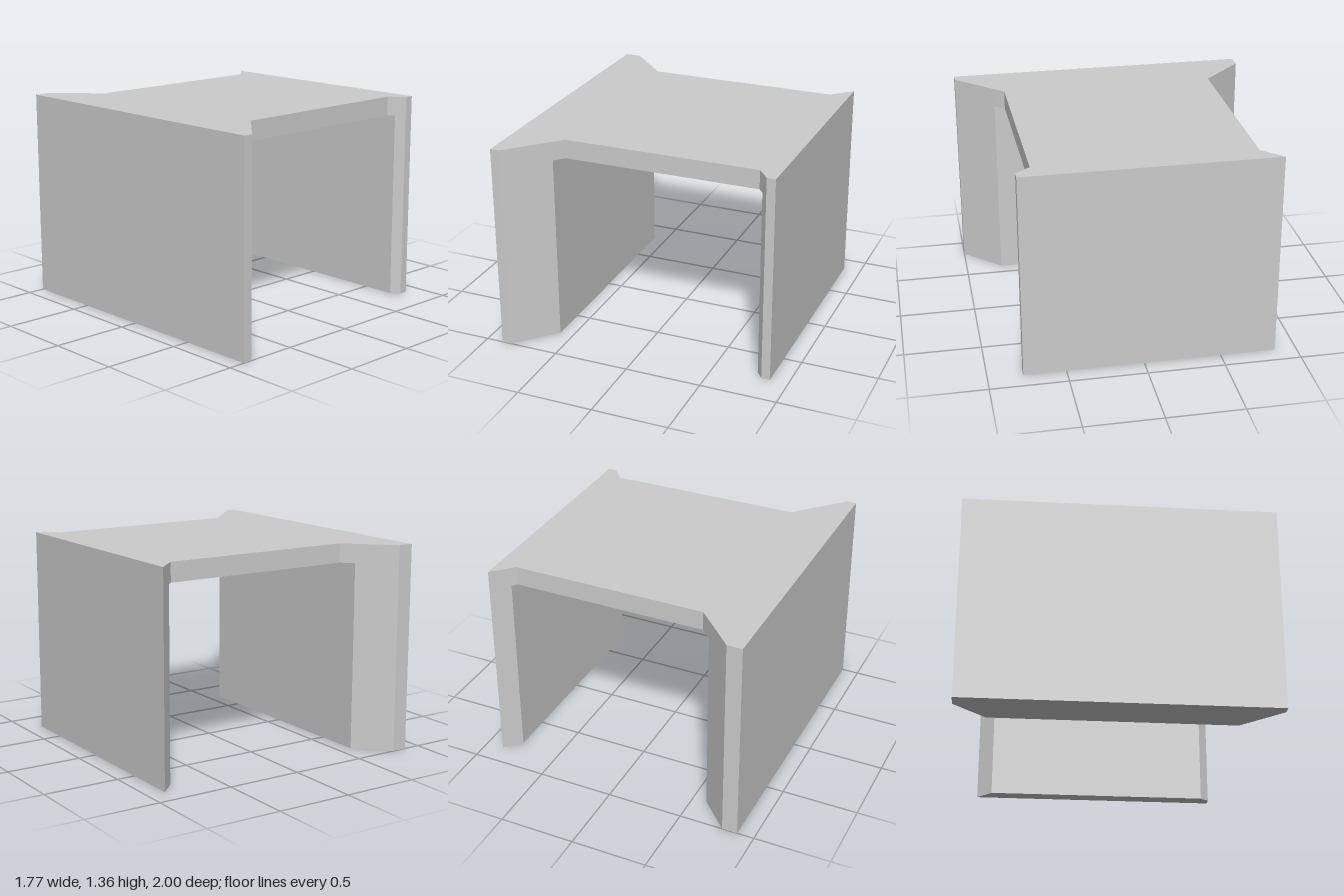
import * as THREE from 'three';

const HEIGHT = 1.36;
const UNDERSIDE = 1.235;

// Upright prism from a plan outline of [x, z] corners
function prism(name, plan, bottom, top, material) {
  const shape = new THREE.Shape(plan.map(([x, z]) => new THREE.Vector2(x, -z)));
  const geometry = new THREE.ExtrudeGeometry(shape, { depth: top - bottom, bevelEnabled: false });
  geometry.rotateX(-Math.PI / 2);
  geometry.translate(0, bottom, 0);
  const mesh = new THREE.Mesh(geometry, material);
  mesh.name = name;
  return mesh;
}

export function createModel() {
  const group = new THREE.Group();
  group.name = 'culvert';
  const material = new THREE.MeshStandardMaterial({ color: 0xcccccc, flatShading: true });

  // Thick wall with long flared wings at both ends
  group.add(prism('rightWall', [
    [-0.888, 1], [-0.826, 1], [-0.592, 0.752],
    [-0.592, -0.8], [-0.787, -1], [-0.888, -1],
  ], 0, HEIGHT, material));

  // Thin wall with short flared wings
  group.add(prism('leftWall', [
    [0.78, 0.718], [0.823, 0.774], [0.88, 0.774],
    [0.88, -0.86], [0.78, -0.76],
  ], 0, HEIGHT, material));

  // Roof slab, its corners following the start of each flare
  group.add(prism('roofSlab', [
    [-0.592, 0.752], [-0.534, 0.688], [0.748, 0.678], [0.78, 0.718],
    [0.78, -0.76], [0.75, -0.732], [-0.522, -0.728], [-0.592, -0.8],
  ], UNDERSIDE, HEIGHT, material));

  return group;
}
